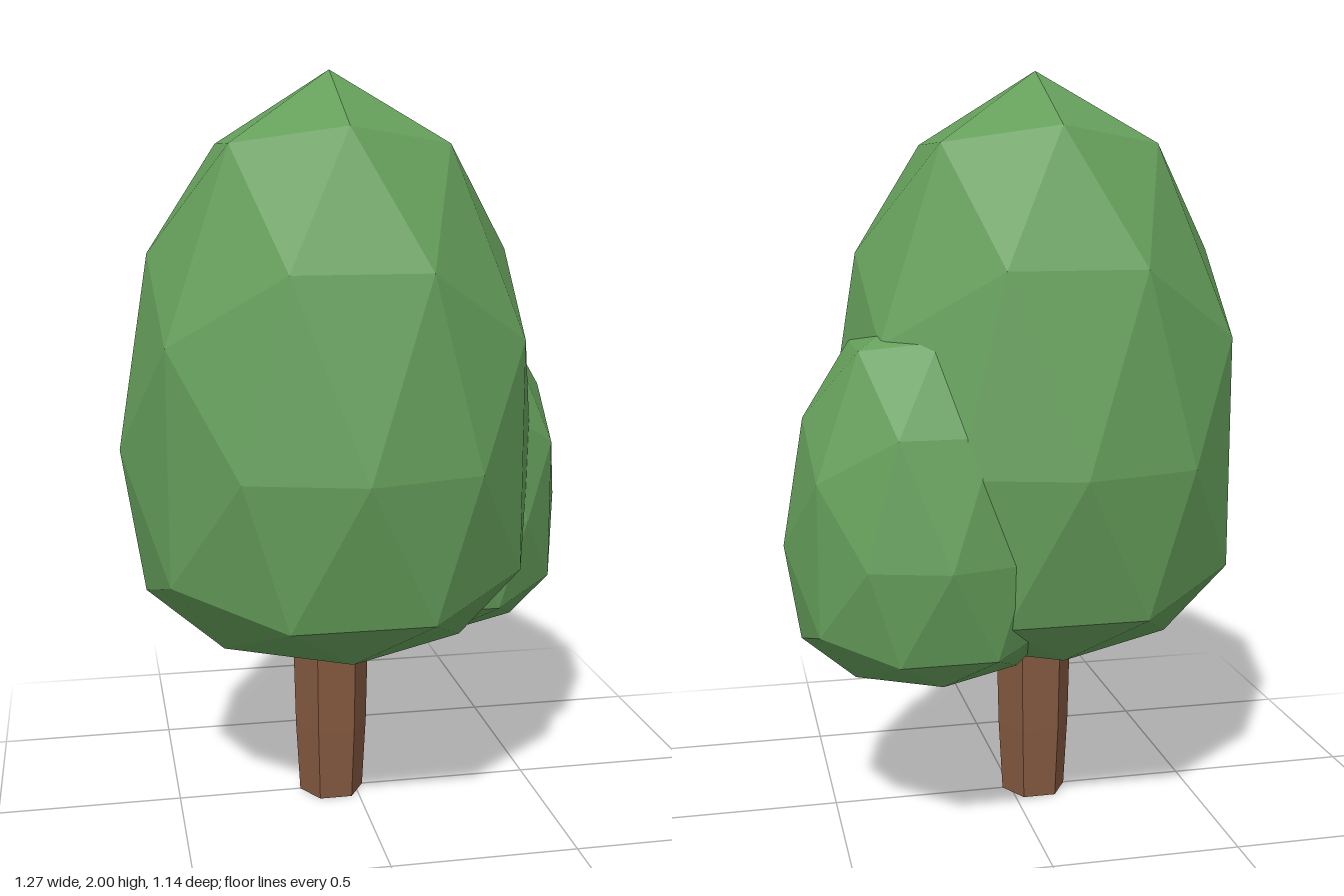
import * as THREE from 'three';

const leafMaterial = new THREE.MeshStandardMaterial({ color: 0x659f5b, flatShading: true });
const barkMaterial = new THREE.MeshStandardMaterial({ color: 0x84593f, flatShading: true });

// Egg-shaped faceted crown: an icosphere whose underside is flattened and bulges outwards.
function createCrown(name, radius, halfHeight) {
  const geometry = new THREE.IcosahedronGeometry(1, 1).rotateY(Math.PI / 2);
  const position = geometry.attributes.position;
  for (let i = 0; i < position.count; i++) {
    const y = position.getY(i);
    const below = Math.max(0, -0.31 - y);
    const spread = radius * (1 + 0.24 * Math.min(below, 0.55));
    position.setXYZ(i, position.getX(i) * spread, (y + 0.6 * below) * halfHeight, position.getZ(i) * spread);
  }
  geometry.computeVertexNormals();
  const crown = new THREE.Mesh(geometry, leafMaterial);
  crown.name = name;
  return crown;
}

// Six-sided trunk, slightly wider towards the top.
function createTrunk() {
  const profile = [[0, 0], [0.09, 0], [0.101, 0.2], [0.106, 0.42], [0.106, 0.55], [0, 0.55]];
  const geometry = new THREE.LatheGeometry(profile.map(([r, y]) => new THREE.Vector2(r, y)), 6);
  geometry.rotateY(Math.PI / 2);
  const trunk = new THREE.Mesh(geometry, barkMaterial);
  trunk.name = 'trunk';
  return trunk;
}

export function createModel() {
  const tree = new THREE.Group();
  tree.name = 'tree';

  const trunk = createTrunk();
  trunk.position.x = -0.067;

  const mainCrown = createCrown('mainCrown', 0.57, 0.99);
  mainCrown.position.set(-0.067, 1.01, 0);

  // Smaller crown growing out of the back left
  const sideCrown = createCrown('sideCrown', 0.375, 0.63);
  sideCrown.position.set(0.26, 0.795, -0.175);

  tree.add(trunk, mainCrown, sideCrown);
  return tree;
}
